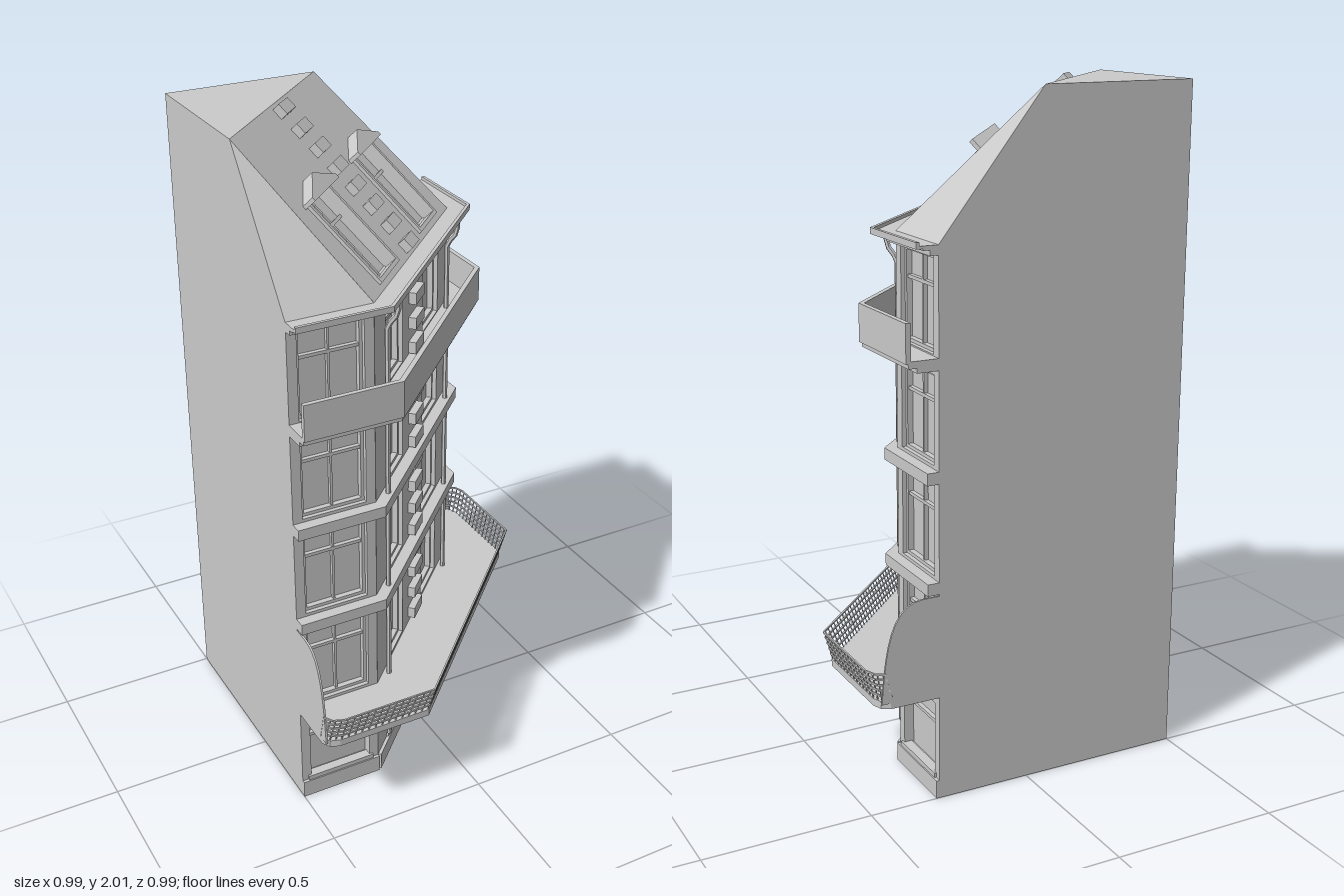
import * as THREE from 'three';

const mat = new THREE.MeshStandardMaterial({ color: 0xcccccc, flatShading: true });
const thin = new THREE.MeshStandardMaterial({ color: 0xcccccc, flatShading: true, side: THREE.DoubleSide });

function add(parent, name, geo, x = 0, y = 0, z = 0, m = mat) {
  const mesh = new THREE.Mesh(geo, m);
  mesh.name = name;
  mesh.position.set(x, y, z);
  parent.add(mesh);
  return mesh;
}
const box = (g, name, w, h, d, x, y, z) => add(g, name, new THREE.BoxGeometry(w, h, d), x, y, z);
const poly = pts => new THREE.Shape(pts.map(p => new THREE.Vector2(p[0], p[1])));
const rect = (x0, x1, y0, y1) => poly([[x0, y0], [x1, y0], [x1, y1], [x0, y1]]);
const extrude = (shape, depth) => new THREE.ExtrudeGeometry(shape, { depth, bevelEnabled: false, curveSegments: 10 });

// Street line of the corner plot as [x, z], pushed out by d; c cuts the two ends
function street(d, c = 0) {
  const e = 0.285 + d, k = -0.24 + 0.414 * d;
  const half = c ? [[-0.5, e - c], [-0.5 + c * 0.4, e - c * 0.3], [-0.5 + c * 1.2, e], [k, e]] : [[-0.5, e], [k, e]];
  return [...half, ...half.map(([x, z]) => [z, x]).reverse()];
}
// Prism standing on a plan outline
function prism(g, name, pts, y, h) {
  const geo = extrude(poly(pts.map(([x, z]) => [x, -z])), h);
  geo.rotateX(-Math.PI / 2);
  return add(g, name, geo, 0, y, 0);
}
const strip = (g, name, d0, d1, y, h, c = 0) =>
  prism(g, name, [...street(d1, c), ...street(d0).reverse()], y, h);

// Thin bar between two points
function bar(g, name, a, b, t) {
  const m = box(g, name, t, t, a.distanceTo(b), 0, 0, 0);
  m.position.copy(a).add(b).multiplyScalar(0.5);
  m.lookAt(b);
}

// Frame, transom and mullions inside an opening
function windowBars(g, x0, x1, y0, y1, panes, full) {
  const t = 0.01, z = -0.024, w = x1 - x0, h = y1 - y0, yt = y0 + h * 0.68;
  const frame = rect(x0, x1, y0, y1);
  frame.holes.push(rect(x0 + t, x1 - t, y0 + t, y1 - t));
  add(g, 'windowFrame', extrude(frame, 0.018), 0, 0, -0.031);
  box(g, 'transom', w, t, 0.014, (x0 + x1) / 2, yt, z);
  for (let i = 1; i < panes; i++) {
    const b = full ? y0 : yt;
    box(g, 'mullion', 0.007, y1 - b, 0.012, x0 + w * i / panes, (b + y1) / 2, z);
  }
}

const floors = [[0.345, 0.615], [0.67, 0.94], [0.99, 1.245], [1.3, 1.565]];

// Facade skin with window openings; outer face at local z = 0
function facade(name, w, spans, panes, full, door) {
  const g = new THREE.Group();
  g.name = name;
  const shape = rect(-w / 2, w / 2, 0, 1.6);
  for (const [x0, x1] of spans) {
    for (const [y0, y1] of [[0.065, 0.285], ...floors]) {
      shape.holes.push(rect(x0, x1, y0, y1));
      if (y0 > 0.1) windowBars(g, x0, x1, y0, y1, panes, full);
    }
    box(g, 'shopSill', x1 - x0 + 0.02, 0.014, 0.03, (x0 + x1) / 2, 0.063, -0.008);
    box(g, 'shopTransom', x1 - x0, 0.01, 0.014, (x0 + x1) / 2, 0.21, -0.024);
  }
  if (door) {
    const hole = new THREE.Path();
    hole.moveTo(-0.055, 0.005);
    hole.lineTo(0.055, 0.005);
    hole.lineTo(0.055, 0.2);
    hole.absarc(0, 0.2, 0.055, 0, Math.PI, false);
    hole.lineTo(-0.055, 0.005);
    shape.holes.push(hole);
  }
  add(g, 'wall', extrude(shape, 0.03), 0, 0, -0.03);
  return g;
}

function addDoor(g) {
  for (const s of [-1, 1]) {
    box(g, 'doorPost', 0.022, 0.2, 0.03, s * 0.066, 0.1, 0);
    for (let i = 0; i < 4; i++) box(g, 'doorPanel', 0.036, 0.034, 0.01, s * 0.025, 0.035 + i * 0.047, -0.027);
  }
  box(g, 'doorSplit', 0.007, 0.24, 0.014, 0, 0.125, -0.025);
  box(g, 'doorTransom', 0.11, 0.01, 0.016, 0, 0.2, -0.024);
  // Arch stones
  for (let i = 0; i < 9; i++) {
    const a = Math.PI * (i + 0.5) / 9;
    const stone = box(g, 'archStone', 0.032, 0.024, 0.035, Math.cos(a) * 0.07, 0.2 + Math.sin(a) * 0.07, 0.002);
    stone.rotation.z = a;
  }
}

// Tapered bracket under the balcony
function bracket(g, x, w) {
  const geo = extrude(poly([[0, 0.27], [0.03, 0.275], [0.15, 0.3], [0.15, 0.315], [0, 0.315]]), w);
  geo.rotateY(-Math.PI / 2);
  add(g, 'balconyBracket', geo, x + w / 2, 0, 0);
}

function addRoof(g, corner) {
  const A = [-0.5, 1.6, 0.285], B = [-0.24, 1.6, 0.285], C = [0.285, 1.6, -0.24], D = [0.285, 1.6, -0.5];
  const E = [-0.5, 1.6, -0.5], F = [-0.5, 2, -0.03], G = [-0.03, 2, -0.5], H = [-0.5, 2, -0.5];
  const tris = [A, B, F, C, D, G, F, G, H, A, F, H, A, H, E, D, E, H, D, H, G];
  const geo = new THREE.BufferGeometry();
  geo.setAttribute('position', new THREE.Float32BufferAttribute(tris.flat(), 3));
  geo.computeVertexNormals();
  add(g, 'roofSides', geo);

  // Broad corner slope: local x across, y up the slope, z out of it
  const slope = new THREE.Group();
  slope.name = 'roofSlope';
  slope.position.set(0, 1.6, 0.032);
  slope.rotation.x = -Math.atan2(0.407, 0.4);
  corner.add(slope);
  const face = poly([[-0.371, 0], [0.371, 0], [0.332, 0.571], [-0.332, 0.571]]);
  for (const s of [-1, 1]) {
    const c = s * 0.195, x0 = c - 0.072, x1 = c + 0.072, y0 = 0.03, y1 = 0.3;
    face.holes.push(rect(x0, x1, y0, y1));
    // Sunken roof window with its gabled hood
    const jamb = rect(x0 - 0.012, x1 + 0.012, y0 - 0.012, y1 + 0.012);
    jamb.holes.push(rect(x0, x1, y0, y1));
    add(slope, 'roofWindowFrame', extrude(jamb, 0.05), 0, 0, -0.04);
    add(slope, 'roofWindowPane', new THREE.PlaneGeometry(0.144, 0.27), c, 0.165, -0.035);
    box(slope, 'roofWindowMullion', 0.01, 0.27, 0.012, c, 0.165, -0.03);
    box(slope, 'roofWindowTransom', 0.144, 0.01, 0.012, c, 0.22, -0.03);
    const hood = poly([[-0.098, 0.3], [0.098, 0.3], [0.098, 0.312], [0, 0.36], [-0.098, 0.312]]);
    add(slope, 'roofWindowHood', extrude(hood, 0.045), c, 0, -0.005);
  }
  add(slope, 'roofFace', new THREE.ShapeGeometry(face));
  for (let i = 0; i < 8; i++) box(slope, 'roofStone', 0.07, 0.036, 0.03, 0, 0.03 + i * 0.073, 0.01);
}

// Big balcony with leaning railing and end screens
function addBalcony(g) {
  strip(g, 'balconySlab', -0.02, 0.185, 0.313, 0.022, 0.035);
  const at = (t, y) => street(0.182 + 0.023 * t, 0.04).map(([x, z]) => new THREE.Vector3(x, y, z));
  const low = at(0, 0.335), high = at(1, 0.42);
  [0.2, 0.4, 0.6, 0.8, 1].forEach(t => {
    const p = at(t, 0.335 + 0.085 * t);
    for (let i = 1; i < p.length; i++) bar(g, 'rail', p[i - 1], p[i], 0.005);
  });
  for (let i = 1; i < low.length; i++) {
    const n = Math.max(2, Math.round(low[i].distanceTo(low[i - 1]) / 0.022));
    for (let k = 0; k < n; k++) {
      bar(g, 'baluster', low[i - 1].clone().lerp(low[i], k / n), high[i - 1].clone().lerp(high[i], (k + 0.5) / n), 0.003);
    }
  }
  const s = new THREE.Shape();
  s.moveTo(0, 0.33);
  s.lineTo(0.178, 0.33);
  s.bezierCurveTo(0.165, 0.48, 0.15, 0.62, 0.05, 0.62);
  s.lineTo(0, 0.62);
  const geo = extrude(s, 0.006);
  add(g, 'endScreen', geo, 0.285, 0, -0.5);
  add(g, 'endScreen', geo, -0.494, 0, 0.285).rotation.y = -Math.PI / 2;
}

export function createModel() {
  const model = new THREE.Group();
  model.name = 'cornerBuilding';
  prism(model, 'core', [[-0.5, -0.5], ...street(-0.03)], 0, 1.6);

  // Corner facade and the two short side facades
  const corner = new THREE.Group();
  corner.name = 'corner';
  corner.rotation.y = Math.PI / 4;
  model.add(corner);
  const front = facade('cornerFacade', 0.742, [[-0.27, -0.105], [0.105, 0.27]], 3, false, true);
  front.position.z = 0.032;
  corner.add(front);
  addDoor(front);
  for (let i = 0; i < 16; i++) box(front, 'wallStone', 0.085, 0.036, 0.03, 0, 0.375 + i * 0.0785, 0.008);
  for (const s of [-1, 1]) {
    bracket(front, s * 0.187, 0.12);
    box(front, 'plinth', 0.29, 0.055, 0.012, s * 0.224, 0.0275, 0.004);
    // Downpipe with a bent top
    const path = new THREE.CurvePath();
    const pts = [[1.59, 0.05], [1.55, 0.05], [1.51, 0.018], [0.1, 0.018]].map(([y, z]) => new THREE.Vector3(s * 0.31, y, z));
    for (let i = 1; i < pts.length; i++) path.add(new THREE.LineCurve3(pts[i - 1], pts[i]));
    add(front, 'downpipe', new THREE.TubeGeometry(path, 60, 0.008, 6), 0, 0, 0, thin);
  }
  [[-0.37, 0.285, 0], [0.285, -0.37, Math.PI / 2]].forEach(([x, z, r]) => {
    const side = facade('sideFacade', 0.26, [[-0.1, 0.1]], 2, true, false);
    side.position.set(x, 0, z);
    side.rotation.y = r;
    bracket(side, 0, 0.08);
    box(side, 'plinth', 0.26, 0.055, 0.012, 0, 0.0275, 0.004);
    model.add(side);
  });

  // Floor bands, upper balcony and cornice
  strip(model, 'floorBand', -0.02, 0.035, 0.625, 0.035);
  strip(model, 'floorBand', -0.02, 0.035, 0.945, 0.035);
  strip(model, 'upperBalconyMoulding', -0.02, 0.065, 1.262, 0.016);
  strip(model, 'upperBalconySlab', -0.02, 0.09, 1.276, 0.02);
  strip(model, 'parapet', 0.082, 0.097, 1.29, 0.11);
  strip(model, 'cornice', -0.02, 0.025, 1.572, 0.02);
  strip(model, 'cornice', -0.02, 0.045, 1.587, 0.013);
  strip(model, 'gutterLip', 0.055, 0.065, 1.592, 0.018);
  strip(model, 'gutterBed', 0.03, 0.06, 1.592, 0.008);

  addBalcony(model);
  addRoof(model, corner);
  return model;
}
